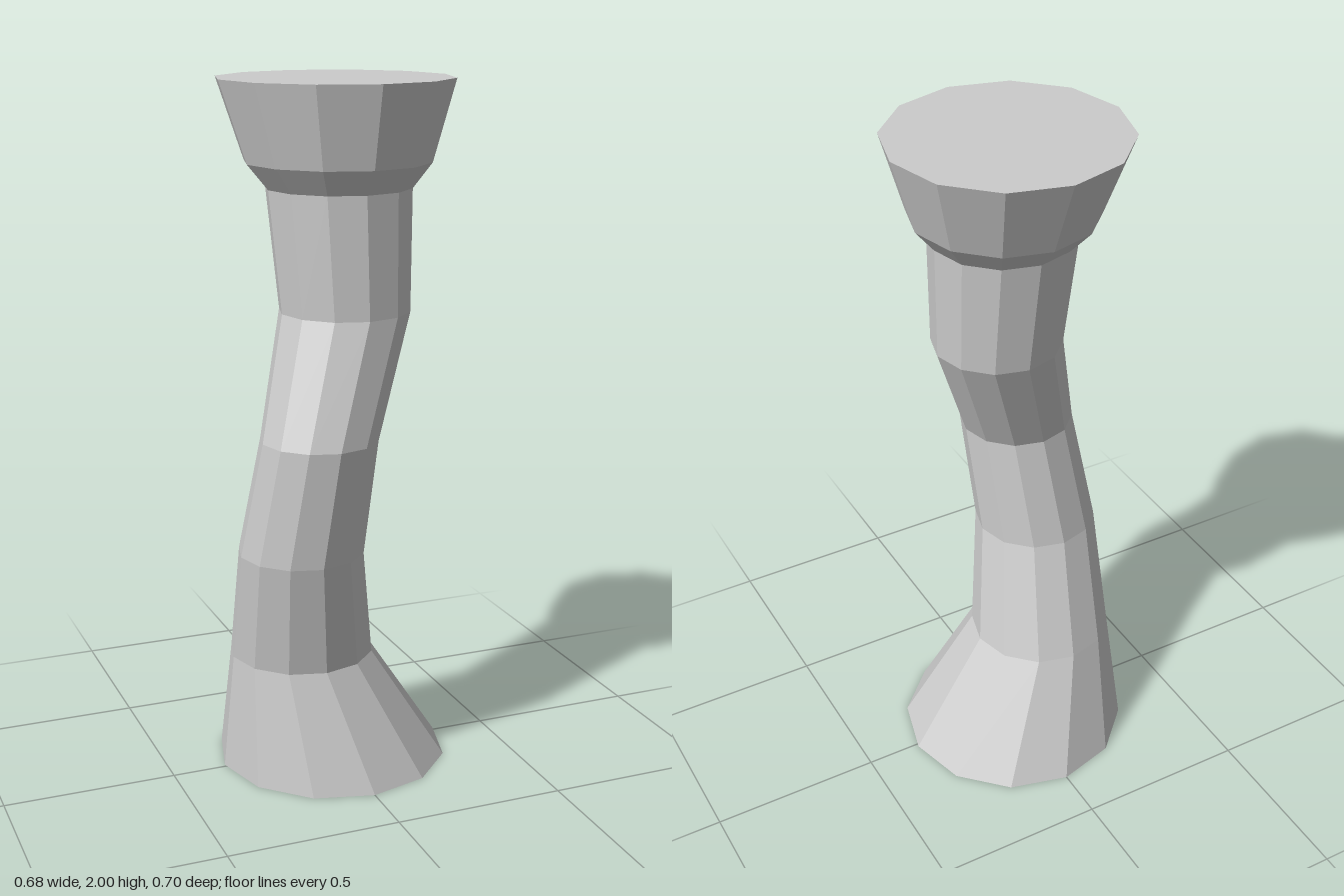
import * as THREE from 'three';

const SIDES = 12;

// Horizontal rings from bottom to top: [y, centre x, centre z, radius]
const RINGS = [
  [0, 0, -0.01, 0.34],
  [0.345, -0.1, 0.0, 0.21],
  [0.685, -0.135, 0.097, 0.18],
  [1.025, -0.1, 0.152, 0.166],
  [1.365, 0.01, 0.065, 0.185],
  [1.705, 0, 0.045, 0.205],
  [1.775, 0, 0.0375, 0.262],
  [2, 0, 0.0175, 0.333],
];

const material = new THREE.MeshStandardMaterial({ color: 0xcccccc, flatShading: true });

// Open tube whose rows of vertices are moved onto the given rings
function loft(name, rings) {
  const rows = rings.length - 1;
  const geometry = new THREE.CylinderGeometry(1, 1, 1, SIDES, rows, true);
  const p = geometry.attributes.position;
  for (let i = 0; i < p.count; i++) {
    const [y, cx, cz, r] = rings[Math.round((p.getY(i) + 0.5) * rows)];
    p.setXYZ(i, cx + p.getX(i) * r, y, cz + p.getZ(i) * r);
  }
  geometry.computeVertexNormals();
  const mesh = new THREE.Mesh(geometry, material);
  mesh.name = name;
  return mesh;
}

// Flat end face, facing up (+1) or down (-1)
function endFace(name, [y, cx, cz, r], facing) {
  const geometry = new THREE.CircleGeometry(r, SIDES).rotateX(-facing * Math.PI / 2);
  const mesh = new THREE.Mesh(geometry, material);
  mesh.position.set(cx, y, cz);
  mesh.name = name;
  return mesh;
}

export function createModel() {
  const group = new THREE.Group();
  group.name = 'crookedColumn';
  group.add(
    loft('flaredFoot', RINGS.slice(0, 2)),
    loft('bentShaft', RINGS.slice(1, 6)),
    loft('capital', RINGS.slice(5)),
    endFace('underside', RINGS[0], -1),
    endFace('topFace', RINGS[RINGS.length - 1], 1),
  );
  return group;
}
